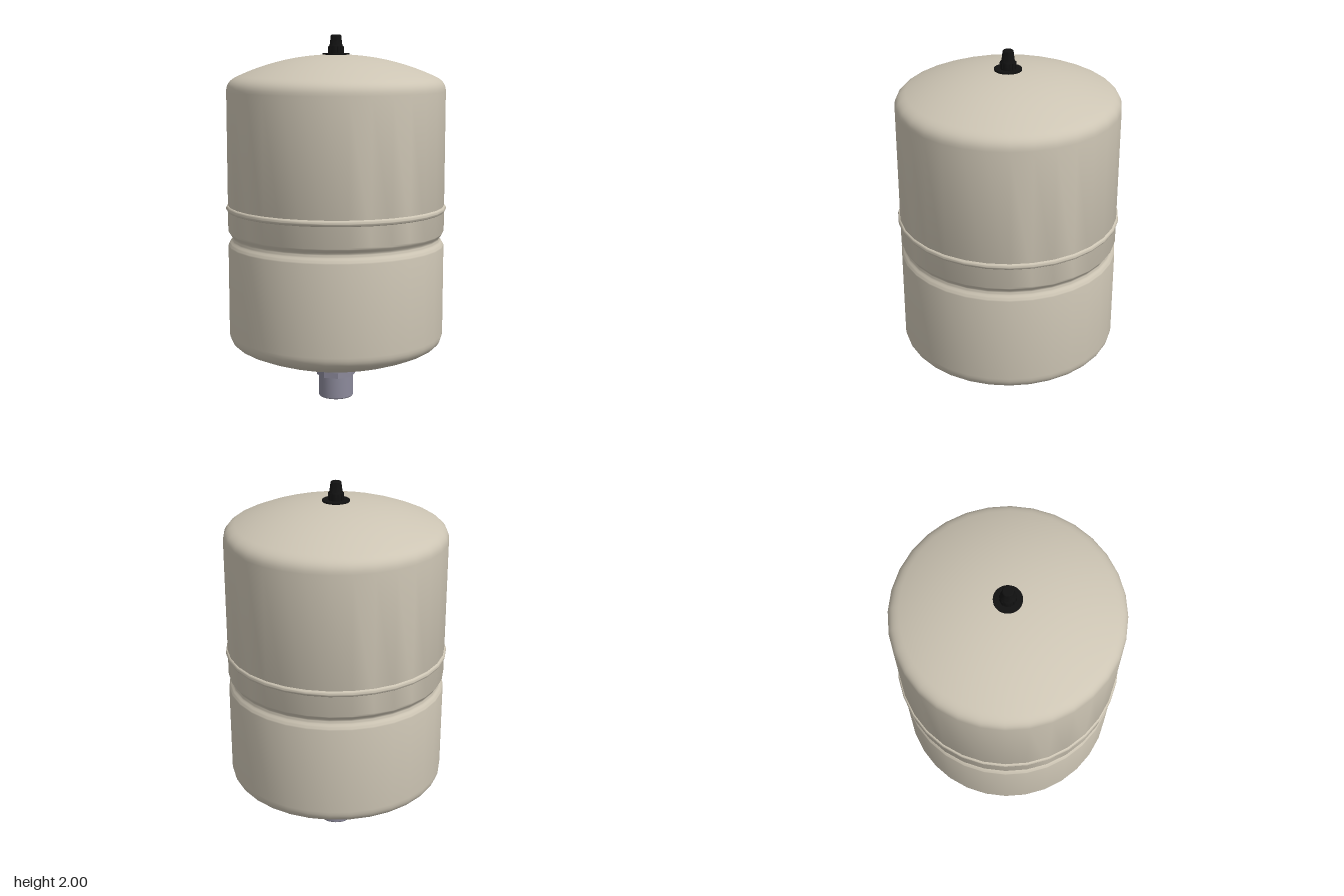
import * as THREE from 'three';
import { toCreasedNormals } from 'three/addons/utils/BufferGeometryUtils.js';

const SEGMENTS = 32;
const paint = new THREE.MeshStandardMaterial({ color: 0xcdc5b4 });
const steel = new THREE.MeshStandardMaterial({ color: 0x8c8a9b });
const black = new THREE.MeshStandardMaterial({ color: 0x111111 });

// Revolved part from [radius, height] pairs, ordered bottom to top on the outside
function turned(name, profile, material, crease = 0.6, segments = SEGMENTS) {
  const points = profile.map(([r, y]) => new THREE.Vector2(r, y));
  const geometry = toCreasedNormals(new THREE.LatheGeometry(points, segments), crease);
  const mesh = new THREE.Mesh(geometry, material);
  mesh.name = name;
  return mesh;
}

// Shallow dome from its apex on the axis out to the rounded shoulder
function dome(apexY, direction) {
  const R = 1.28, steps = 10, points = [];
  for (let i = 0; i <= steps; i++) {
    const r = 0.53 * i / steps;
    points.push([r, apexY + direction * (R - Math.sqrt(R * R - r * r))]);
  }
  // shoulder blending into the cylindrical wall
  const edge = apexY + direction * 0.115;
  const curve = new THREE.CubicBezierCurve(
    new THREE.Vector2(0.53, edge), new THREE.Vector2(0.567, edge + direction * 0.017),
    new THREE.Vector2(0.59, edge + direction * 0.038), new THREE.Vector2(0.59, edge + direction * 0.08));
  curve.getPoints(7).slice(1).forEach(p => points.push([p.x, p.y]));
  return points;
}

export function createModel() {
  const model = new THREE.Group();
  model.name = 'pressureTank';

  // Vessel with a rolled groove in the wall
  const groove = [];
  for (let i = 0; i <= 12; i++) {
    const t = i / 12;
    groove.push([0.59 - 0.011 * (1 - Math.cos(t * Math.PI * 2)), 0.865 + t * 0.085]);
  }
  const vessel = [...dome(0.185, 1), ...groove, ...dome(1.897, -1).reverse()];
  model.add(turned('vessel', vessel, paint, 0.9));

  // Raised bead around the middle
  const bead = [];
  for (let i = 0; i <= 10; i++) {
    const a = -Math.PI / 2 + Math.PI * i / 10;
    bead.push([0.583 + 0.017 * Math.cos(a), 1.072 + 0.018 * Math.sin(a)]);
  }
  model.add(turned('bead', bead, paint, 0.9));

  // Water connection: hollow pipe, octagonal nut and collar
  const connection = new THREE.Group();
  connection.name = 'waterConnection';
  connection.add(turned('pipe', [[0, 0.15], [0.074, 0.15], [0.074, 0.006], [0.08, 0],
    [0.092, 0], [0.097, 0.006], [0.097, 0.2]], steel));
  const nutGeometry = new THREE.CylinderGeometry(0.108, 0.108, 0.04, 8, 1, false, Math.PI / 8);
  const nut = new THREE.Mesh(toCreasedNormals(nutGeometry, 0.5), steel);
  nut.name = 'nut';
  nut.position.y = 0.142;
  connection.add(nut);
  connection.add(turned('collar', [[0.09, 0.155], [0.109, 0.155], [0.109, 0.192], [0.09, 0.2]], steel));
  model.add(connection);

  // Air valve: flat washer, tapered cap and grip ribs
  const valve = new THREE.Group();
  valve.name = 'airValve';
  valve.add(turned('washer', [[0, 1.885], [0.072, 1.885], [0.072, 1.903], [0, 1.904]], black));
  valve.add(turned('cap', [[0, 1.9], [0.041, 1.9], [0.039, 1.94], [0.034, 1.947],
    [0.028, 1.996], [0.024, 2], [0, 2]], black, 0.6, 24));
  for (let i = 0; i < 12; i++) {
    const pivot = new THREE.Group();
    pivot.name = 'gripRib';
    pivot.rotation.y = i * Math.PI / 6;
    const rib = new THREE.Mesh(new THREE.BoxGeometry(0.006, 0.034, 0.006), black);
    rib.name = 'rib';
    rib.position.set(0, 1.92, 0.0395);
    pivot.add(rib);
    valve.add(pivot);
  }
  model.add(valve);

  return model;
}
